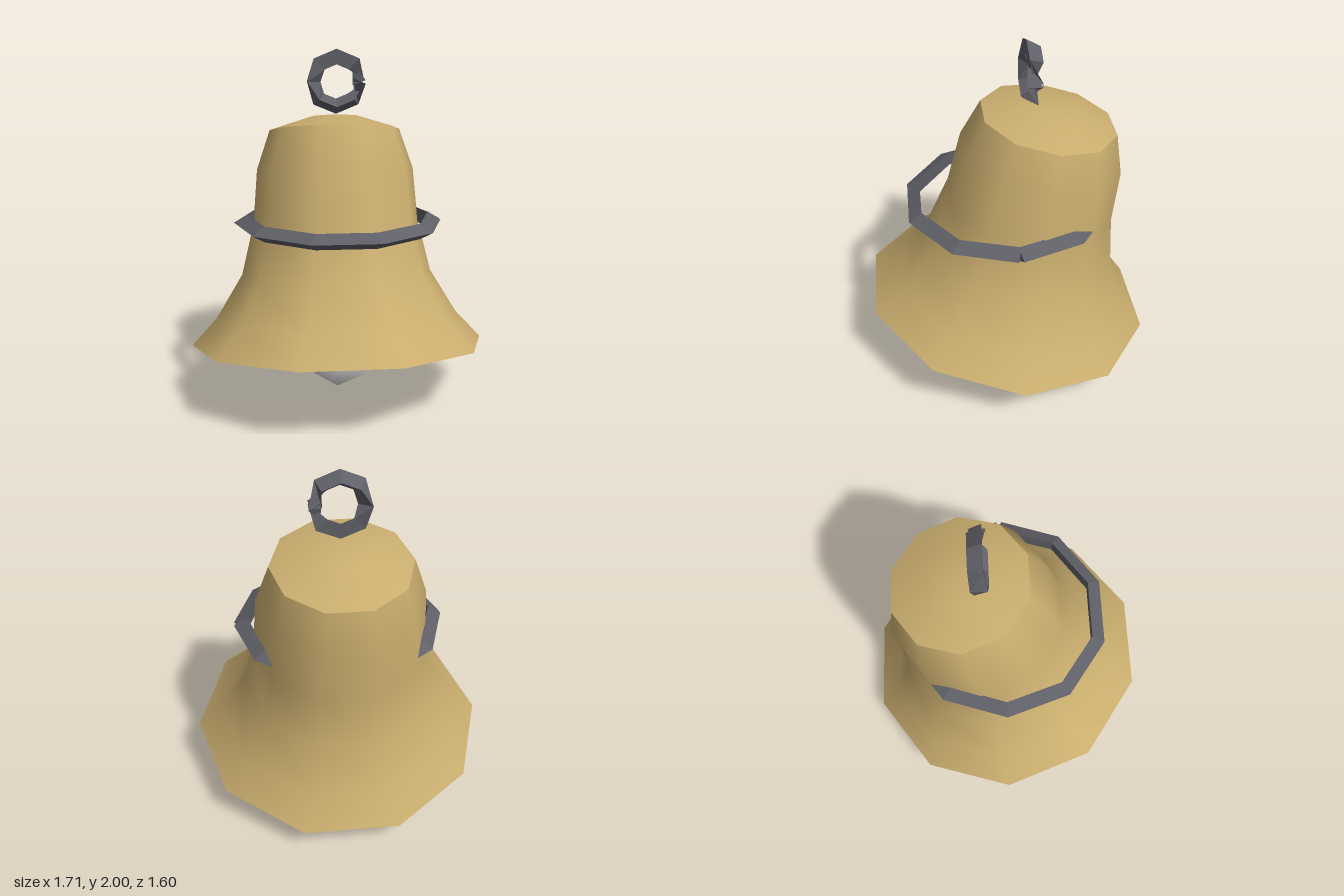
import * as THREE from 'three';
import { mergeVertices } from 'three/addons/utils/BufferGeometryUtils.js';

const brass = new THREE.MeshStandardMaterial({ color: 0xc9ad6e });
const iron = new THREE.MeshStandardMaterial({ color: 0x5f5f67 });
const silver = new THREE.MeshStandardMaterial({ color: 0xdedede });

function part(name, geometry, material) {
  const mesh = new THREE.Mesh(geometry, material);
  mesh.name = name;
  return mesh;
}

// Ten-sided lathe with a corner on the x axis
function lathe(profile) {
  const points = profile.map(([r, h]) => new THREE.Vector2(r, h));
  return new THREE.LatheGeometry(points, 10, Math.PI / 2);
}

// Triangular bar bent into a ring. Its two capped ends meet on +x and are cut
// square to their last segments, leaving a small outer notch.
// roll(u) turns the section around the bar.
function bentRing(radius, tube, sides, roll) {
  const turn = Math.PI * 2, step = turn / sides;
  const rows = sides + 3;
  const geo = new THREE.TorusGeometry(radius, tube, 3, rows - 1);
  const pos = geo.attributes.position;
  for (let j = 0; j <= 3; j++) {
    for (let i = 0; i < rows; i++) {
      const k = THREE.MathUtils.clamp(i - 1, 0, sides);
      const u = k * step;
      const cut = k === 0 ? u + step / 2 : k === sides ? u - step / 2 : u;
      const t = i === 0 || i === rows - 1 ? 0 : tube; // cap centres
      const v = (j / 3) * turn + roll(u);
      const out = t * Math.cos(v);
      pos.setXYZ(
        j * rows + i,
        radius * Math.cos(u) + out * Math.cos(cut),
        radius * Math.sin(u) + out * Math.sin(cut),
        t * Math.sin(v)
      );
    }
  }
  const flat = geo.toNonIndexed();
  flat.computeVertexNormals();
  return flat;
}

export function createModel() {
  const model = new THREE.Group();
  model.name = 'handBell';

  // Swinging bell body: outer wall, crown and inner wall with a flat lip
  const wall = [[0.855, -0.005], [0.711, 0.149], [0.558, 0.402], [0.486, 0.7], [0.46, 1.014], [0.382, 1.243]];
  const crown = [[0.382, 1.243], [0.15, 1.317], [0, 1.317]];
  const lining = [[0, 1.28], [0.14, 1.28], [0.35, 1.21], [0.424, 1.0], [0.45, 0.69], [0.522, 0.39], [0.675, 0.14], [0.817, -0.005]];
  const bell = new THREE.Group();
  bell.name = 'bell';
  bell.add(
    part('bellWall', lathe(wall), brass),
    part('bellCrown', lathe(crown), brass),
    part('bellLining', lathe([...lining, wall[0]]), brass)
  );
  bell.position.y = 0.3125;
  bell.rotation.x = -0.182;
  model.add(bell);

  // Clapper ball: icosahedron standing on a corner, smooth shaded
  let ball = new THREE.IcosahedronGeometry(0.203, 0);
  ball.deleteAttribute('normal');
  ball.deleteAttribute('uv');
  ball = mergeVertices(ball, 1e-4);
  ball.rotateZ(-Math.atan(2 / (1 + Math.sqrt(5))));
  ball.computeVertexNormals();
  const clapper = part('clapper', ball, silver);
  clapper.position.set(0, 0.203, -0.04);
  model.add(clapper);

  // Level hoop around the waist
  const hoop = part('waistHoop', bentRing(0.545, 0.05, 10, () => 0), iron);
  hoop.rotation.x = -Math.PI / 2;
  hoop.position.y = 1.036;
  model.add(hoop);

  // Upright hanging ring: section points back above, forward below, inward at the sides
  const twist = (u) => Math.PI * (1 + 0.5 * Math.sign(Math.round(Math.sin(u) * 10)));
  const loop = part('hangingRing', bentRing(0.14, 0.05, 8, twist), iron);
  loop.position.set(0, 1.817, -0.122);
  model.add(loop);

  return model;
}
